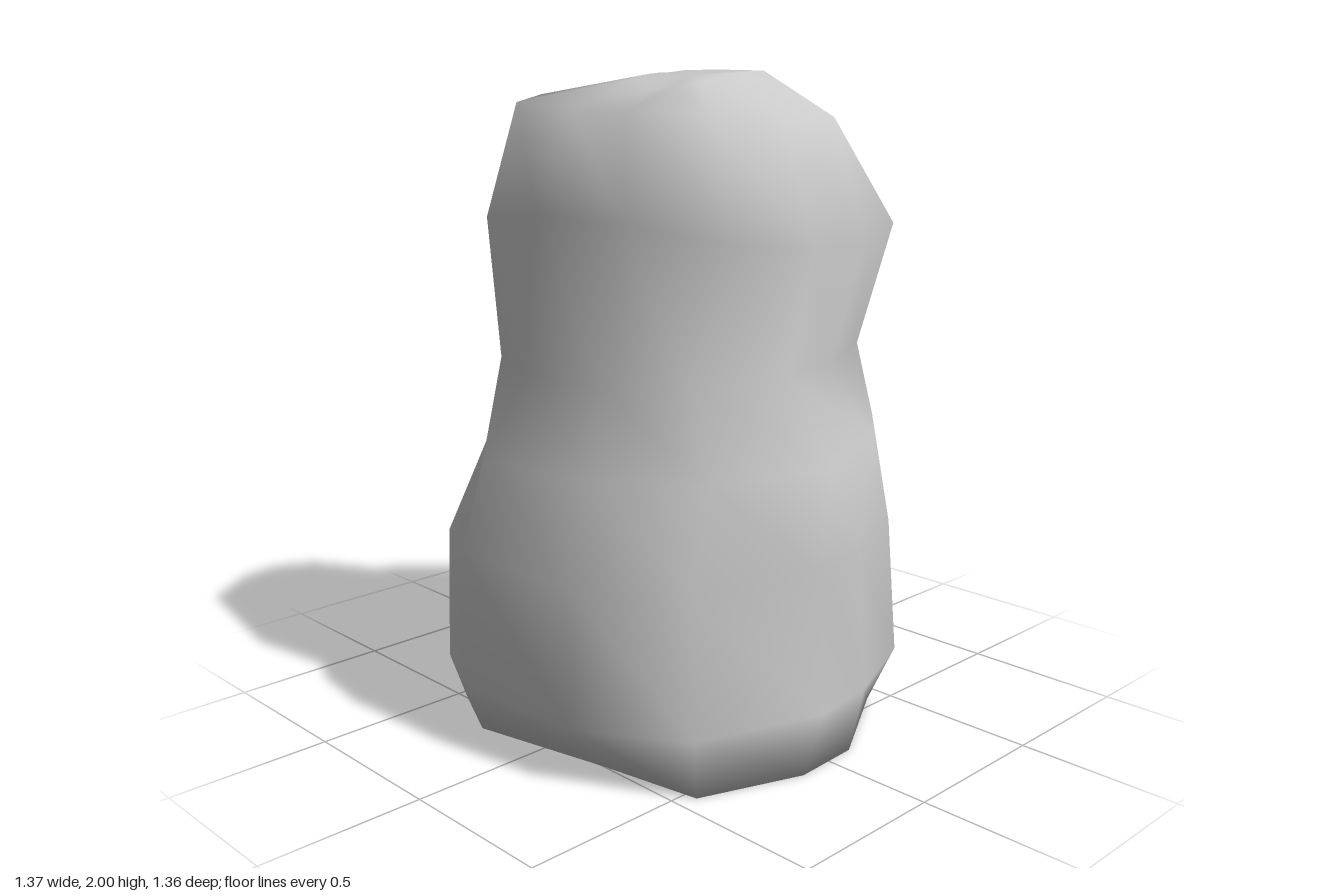
import * as THREE from 'three';

// Outlines seen from above, as [x, z] pairs running back -> left -> front -> right
const BASE = unit([[-.25, -.49], [.14, -.62], [.46, -.43], [.65, -.1], [.66, .12], [.54, .44],
  [.21, .5], [-.24, .6], [-.45, .5], [-.685, .11], [-.685, -.12], [-.45, -.37]]);
const BODY = unit([[-.22, -.63], [.26, -.68], [.51, -.51], [.65, -.18], [.68, .05], [.55, .45],
  [.25, .65], [-.22, .68], [-.45, .57], [-.68, .13], [-.68, -.13], [-.51, -.37]]);
const SHOULDER = unit([[-.19, -.51], [.2, -.54], [.46, -.41], [.58, -.27], [.68, .05], [.54, .4],
  [.25, .57], [-.18, .61], [-.35, .47], [-.53, .12], [-.53, -.11], [-.41, -.29]]);
const HEAD = unit([[-.19, -.54], [.13, -.54], [.5, -.44], [.61, -.17], [.61, .06], [.54, .33],
  [.25, .45], [-.05, .5], [-.43, .39], [-.59, .1], [-.6, -.05], [-.53, -.2]]);
const BROW = unit([[-.15, -.27], [.1, -.28], [.38, -.24], [.49, -.155], [.49, .05], [.42, .28],
  [.18, .365], [-.05, .365], [-.32, .345], [-.44, .15], [-.46, 0], [-.4, -.14]]);
const CROWN = unit([[-.02, -.06], [.08, -.1], [.2, -.12], [.25, -.12], [.28, .02], [.28, .17],
  [.18, .17], [.05, .14], [-.05, .1], [-.06, .05], [-.06, 0], [-.05, -.03]]);
const WAIST = BODY.map(([x, z], i) => [(x + HEAD[i][0]) / 2, (z + HEAD[i][1]) / 2]);

// Scale an outline so that each side reaches 1
function unit(outline) {
  const xs = outline.map(p => p[0]), zs = outline.map(p => p[1]);
  const x0 = -Math.min(...xs), x1 = Math.max(...xs), z0 = -Math.min(...zs), z1 = Math.max(...zs);
  return outline.map(([x, z]) => [x / (x < 0 ? x0 : x1), z / (z < 0 ? z0 : z1)]);
}

// Cross-sections: outline, then [reach, height] towards -x, +x, -z and +z
const RINGS = [
  [BASE, [.685, 0], [.66, 0], [.62, 0], [.60, 0]],
  [BODY, [.67, .17], [.67, .17], [.68, .16], [.68, .18]],
  [BODY, [.635, .60], [.645, .60], [.64, .60], [.68, .60]],
  [SHOULDER, [.53, .88], [.68, .92], [.54, .98], [.61, .88]],
  [WAIST, [.49, 1.15], [.51, 1.15], [.51, 1.20], [.51, 1.13]],
  [HEAD, [.595, 1.51], [.61, 1.52], [.53, 1.58], [.495, 1.60]],
  [BROW, [.46, 1.93], [.49, 1.86], [.28, 1.89], [.365, 1.89]],
  [CROWN, [.06, 1.99], [.28, 1.99], [.12, 2.0], [.17, 1.94]],
];

function loft() {
  const n = BODY.length, pos = [], index = [];
  for (const [outline, right, left, back, front] of RINGS) {
    for (const [x, z] of outline) {
      const sx = x < 0 ? right : left, sz = z < 0 ? back : front;
      // Height blends between the two nearest sides
      const y = (sx[1] * x * x + sz[1] * z * z) / (x * x + z * z);
      pos.push(x * sx[0], y, z * sz[0]);
    }
  }
  // Side walls
  const last = (RINGS.length - 1) * n;
  for (let r = 0; r < last; r += n) {
    for (let i = 0; i < n; i++) {
      const a = r + i, b = r + (i + 1) % n, c = b + n, d = a + n;
      index.push(a, d, c, a, c, b);
    }
  }
  // Underside and crown
  const bottom = pos.length / 3, top = bottom + 1;
  pos.push(0, 0, 0, .1, 1.985, .02);
  for (let i = 0; i < n; i++) {
    const j = (i + 1) % n;
    index.push(bottom, i, j, top, last + j, last + i);
  }
  const geometry = new THREE.BufferGeometry();
  geometry.setAttribute('position', new THREE.Float32BufferAttribute(pos, 3));
  geometry.setIndex(index);
  geometry.computeVertexNormals();
  return geometry;
}

export function createModel() {
  const group = new THREE.Group();
  group.name = 'roundedFigure';
  // Body, waist and head are one continuous smooth skin
  const skin = new THREE.Mesh(loft(), new THREE.MeshStandardMaterial({ color: 0xcccccc }));
  skin.name = 'bodyAndHead';
  group.add(skin);
  return group;
}
